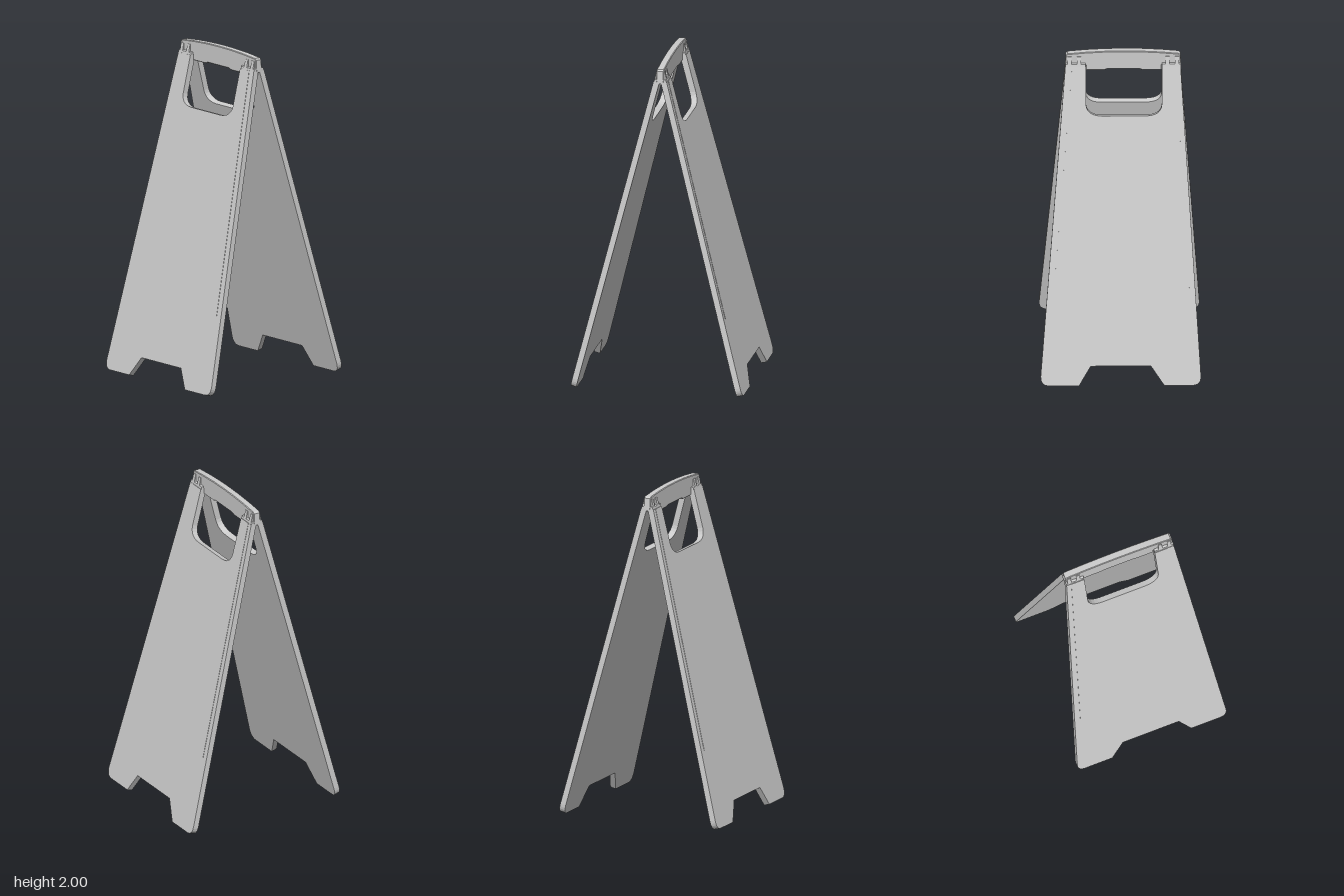
import * as THREE from 'three';

const TOP = 1.905;        // height of the panels' upper edge
const THICK = 0.036;      // panel thickness
const APEX_Z = 0.007;     // centre of the handle in depth
const grey = new THREE.MeshStandardMaterial({ color: 0xcccccc, flatShading: true });

// Extrudes a shape from z0 to z0 + depth.
function slab(name, shape, z0, depth, bevel = 0) {
  const geo = new THREE.ExtrudeGeometry(shape, {
    depth: depth - 2 * bevel, curveSegments: 6, bevelEnabled: bevel > 0,
    bevelSize: bevel, bevelOffset: -bevel, bevelThickness: bevel, bevelSegments: 1,
  });
  geo.translate(0, 0, z0 + bevel);
  const mesh = new THREE.Mesh(geo, grey);
  mesh.name = name;
  return mesh;
}

// Open-topped hand cut-out, traced from the right arm to the left arm.
function traceCutout(s, v) {
  s.lineTo(0.205, v(TOP));
  s.lineTo(0.205, v(1.68));
  s.quadraticCurveTo(0.2, v(1.615), 0.11, v(1.612));
  s.lineTo(-0.16, v(1.612));
  s.quadraticCurveTo(-0.245, v(1.615), -0.25, v(1.68));
  s.lineTo(-0.25, v(TOP));
}

// Tapered board with two feet and rounded outer corners.
function boardShape(v) {
  const s = new THREE.Shape();
  s.moveTo(-0.363, v(TOP));
  s.lineTo(-0.48, v(0.065));
  s.quadraticCurveTo(-0.482, v(0.012), -0.435, v(0.009));
  s.lineTo(-0.26, v(0.009));
  s.lineTo(-0.18, v(0.125));
  s.lineTo(0.18, v(0.125));
  s.lineTo(0.25, v(0.009));
  s.lineTo(0.435, v(0.009));
  s.quadraticCurveTo(0.482, v(0.012), 0.48, v(0.065));
  s.lineTo(0.328, v(TOP));
  traceCutout(s, v);
  s.closePath();
  return s;
}

// Thin raised message area on the outer face.
function messageShape(v) {
  const s = new THREE.Shape();
  s.moveTo(-0.333, v(TOP));
  s.lineTo(-0.418, v(0.472));
  s.lineTo(0.408, v(0.472));
  s.lineTo(0.287, v(TOP));
  traceCutout(s, v);
  s.closePath();
  return s;
}

// One leaning board; side is +1 for the front and -1 for the back.
function makePanel(side) {
  const group = new THREE.Group();
  group.name = side > 0 ? 'frontPanel' : 'backPanel';
  const topZ = APEX_Z + side * 0.041;
  const angle = Math.atan2(0.527 - side * topZ, TOP - 0.009);
  const v = (y) => (y - TOP) / Math.cos(angle);
  const skin = 0.002;
  group.add(slab('board', boardShape(v), side > 0 ? -THICK : 0, THICK));
  group.add(slab('messageArea', messageShape(v), side > 0 ? 0 : -skin, skin));
  group.position.set(0, TOP, topZ);
  group.rotation.x = -side * angle;
  return group;
}

// Arched carrying handle joining both boards.
function makeHandle() {
  const s = new THREE.Shape();
  s.moveTo(-0.366, 1.905);
  s.lineTo(-0.25, 1.905);
  s.lineTo(-0.25, 1.872);
  s.lineTo(-0.135, 1.872);
  s.lineTo(-0.115, 1.88);
  s.lineTo(0.075, 1.88);
  s.lineTo(0.095, 1.872);
  s.lineTo(0.205, 1.872);
  s.lineTo(0.205, 1.905);
  s.lineTo(0.33, 1.905);
  s.lineTo(0.325, 1.972);
  s.lineTo(0.315, 1.982);
  s.quadraticCurveTo(-0.02, 2.018, -0.35, 1.982);
  s.lineTo(-0.362, 1.972);
  s.closePath();
  return slab('handle', s, APEX_Z - 0.0225, 0.045, 0.004);
}

// Wedge-shaped hinge knuckle running along x.
function makeKnuckle(x, width, height) {
  const s = new THREE.Shape();
  s.moveTo(-0.041, 1.895);
  s.lineTo(0.041, 1.895);
  s.lineTo(0.036, 1.918);
  s.lineTo(0.026, height);
  s.lineTo(-0.026, height);
  s.lineTo(-0.036, 1.918);
  s.closePath();
  const mesh = slab('hingeKnuckle', s, -width / 2, width);
  mesh.rotation.y = Math.PI / 2;
  mesh.position.set(x, 0, APEX_Z);
  return mesh;
}

export function createModel() {
  const model = new THREE.Group();
  model.name = 'foldingFloorSign';
  model.add(makePanel(1), makePanel(-1), makeHandle());

  // Hinges on both arms: a low base with taller knuckles
  for (const [centre, width] of [[-0.307, 0.114], [0.267, 0.122]]) {
    model.add(makeKnuckle(centre, width, 1.922));
    const dir = Math.sign(centre);
    for (const offset of [-0.045, 0.012]) {
      model.add(makeKnuckle(centre - dir * offset - dir * 0.01, 0.024, 1.965));
    }
  }
  return model;
}
